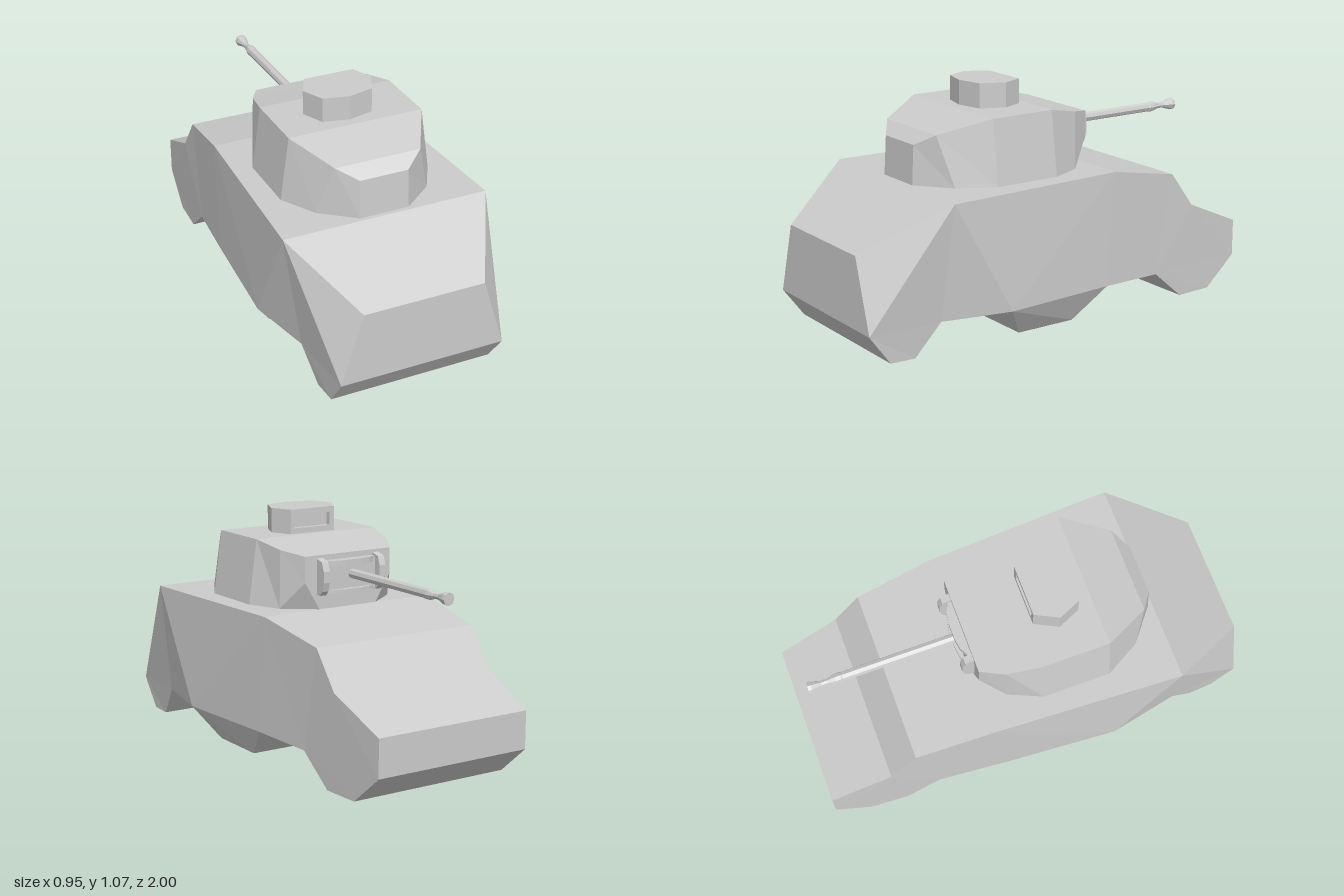
import * as THREE from 'three';

const material = new THREE.MeshStandardMaterial({ color: 0xcccccc, flatShading: true });

function part(name, geometry) {
  const mesh = new THREE.Mesh(geometry, material);
  mesh.name = name;
  return mesh;
}

// Symmetric solid: side faces on +x are mirrored, and the closed loop is joined across the width
function mirroredSolid(loop, sideFaces) {
  const out = [];
  const face = (pts) => {
    for (let i = 1; i < pts.length - 1; i++) out.push(...pts[0], ...pts[i], ...pts[i + 1]);
  };
  const flip = ([x, y, z]) => [-x, y, z];
  for (const pts of sideFaces) {
    face(pts);
    face(pts.map(flip).reverse());
  }
  loop.forEach((p, i) => {
    const q = loop[(i + 1) % loop.length];
    face([p, q, flip(q), flip(p)]);
  });
  const geometry = new THREE.BufferGeometry();
  geometry.setAttribute('position', new THREE.Float32BufferAttribute(out, 3));
  geometry.computeVertexNormals();
  return geometry;
}

// Prism from an outline of [x, z] points, standing on y0
function planPrism(points, y0, height) {
  const shape = new THREE.Shape(points.map(([x, z]) => new THREE.Vector2(x, -z)));
  return new THREE.ExtrudeGeometry(shape, { depth: height, bevelEnabled: false })
    .rotateX(-Math.PI / 2).translate(0, y0, 0);
}

function createHull() {
  // Upper and lower edges from front to back: half width, height, z
  const T = [[0.28, 0.46, 1], [0.477, 0.665, 0.64], [0.435, 0.665, -0.23],
    [0.405, 0.595, -0.59], [0.402, 0.43, -0.715], [0.38, 0.305, -1]];
  const B = [[0.38, 0.135, 1], [0.378, 0, 0.9], [0.385, 0, 0.785], [0.41, 0.145, 0.67],
    [0.477, 0.145, 0.35], [0.38, 0, 0.25], [0.38, 0, -0.04], [0.44, 0.145, -0.19],
    [0.41, 0.135, -0.5], [0.398, 0, -0.66], [0.388, 0, -0.84], [0.38, 0.135, -1]];
  const sides = [
    [T[0], B[0], T[1]], [T[1], B[0], B[3]], [T[1], B[3], B[4]],
    [T[1], B[4], T[2]], [T[2], B[4], B[7]], [T[2], B[7], B[8]],
    [T[2], B[8], T[3]], [T[3], B[8], T[4]], [T[4], B[8], B[11]], [T[4], B[11], T[5]],
  ];
  // Wheel blocks below the side walls
  for (const i of [0, 4, 8]) sides.push([B[i], B[i + 1], B[i + 2], B[i + 3]]);
  return part('hull', mirroredSolid([...T, ...B.slice().reverse()], sides));
}

function createTurretShell() {
  const T = [[0.113, 0.84, 0.61], [0.2, 0.89, 0.55], [0.315, 0.955, 0.34],
    [0.315, 0.955, 0.03], [0.285, 0.925, -0.12], [0.225, 0.905, -0.225]];
  const B = [[0.115, 0.665, 0.62], [0.265, 0.665, 0.5], [0.355, 0.665, 0.34],
    [0.355, 0.665, 0.03], [0.29, 0.665, -0.12], [0.15, 0.665, -0.225]];
  const corner = [0.225, 0.79, -0.225];
  const sides = [];
  for (let i = 0; i < 4; i++) sides.push([T[i], B[i], B[i + 1], T[i + 1]]);
  // Chamfered lower rear corner
  sides.push([T[4], B[4], corner, T[5]], [B[4], B[5], corner]);
  return part('turretShell', mirroredSolid([...T, corner, ...B.slice().reverse()], sides));
}

function createCupola() {
  const group = new THREE.Group();
  group.name = 'cupola';
  const outline = [[0.115, 0.062], [0.157, 0.16], [0.11, 0.267], [-0.01, 0.295],
    [-0.125, 0.267], [-0.17, 0.165], [-0.118, 0.062]];
  // Vision slot cut into the rear face of the middle layer
  const slotted = [...outline, [-0.095, 0.062], [-0.095, 0.09], [0.092, 0.09], [0.092, 0.062]];
  group.add(
    part('cupolaBase', planPrism(outline, 0.95, 0.03)),
    part('cupolaSlotRing', planPrism(slotted, 0.98, 0.06)),
    part('cupolaRoof', planPrism(outline, 1.04, 0.026)),
  );
  return group;
}

function createGun() {
  const group = new THREE.Group();
  group.name = 'gun';

  // Shield plate with a bowed rim above and a sill below
  group.add(part('shieldPlate', new THREE.BoxGeometry(0.27, 0.14, 0.025).translate(0, 0.805, -0.233)));
  const bow = [[-0.13, -0.22], [0.13, -0.22], [0.13, -0.24], [0.09, -0.262], [0.04, -0.27],
    [-0.04, -0.27], [-0.09, -0.262], [-0.13, -0.24]];
  group.add(part('shieldRim', planPrism(bow, 0.855, 0.025)));
  group.add(part('shieldSill', planPrism(bow, 0.735, 0.015)));

  // Side brackets
  const profile = new THREE.Shape([[0.22, 0.73], [0.25, 0.73], [0.268, 0.75], [0.28, 0.79],
    [0.28, 0.84], [0.265, 0.88], [0.22, 0.893]].map(([u, v]) => new THREE.Vector2(u, v)));
  for (const side of [-1, 1]) {
    const geometry = new THREE.ExtrudeGeometry(profile, { depth: 0.032, bevelEnabled: false })
      .rotateY(Math.PI / 2).translate(side * 0.148 - 0.016, 0, 0);
    group.add(part('shieldBracket', geometry));
  }

  // Barrel with flared muzzle
  const barrel = [[0, 0.22], [0.022, 0.22], [0.022, 0.78], [0.024, 0.785], [0.024, 0.81],
    [0.014, 0.845], [0.014, 0.875], [0.028, 0.92], [0.028, 0.935], [0, 0.935]];
  const geometry = new THREE.LatheGeometry(barrel.map(([r, d]) => new THREE.Vector2(r, d)), 8)
    .rotateX(-Math.PI / 2).translate(-0.01, 0.812, 0);
  group.add(part('barrel', geometry));
  return group;
}

export function createModel() {
  const model = new THREE.Group();
  model.name = 'armouredVehicle';
  const turret = new THREE.Group();
  turret.name = 'turret';
  turret.add(createTurretShell(), createCupola(), createGun());
  model.add(createHull(), turret);
  return model;
}
